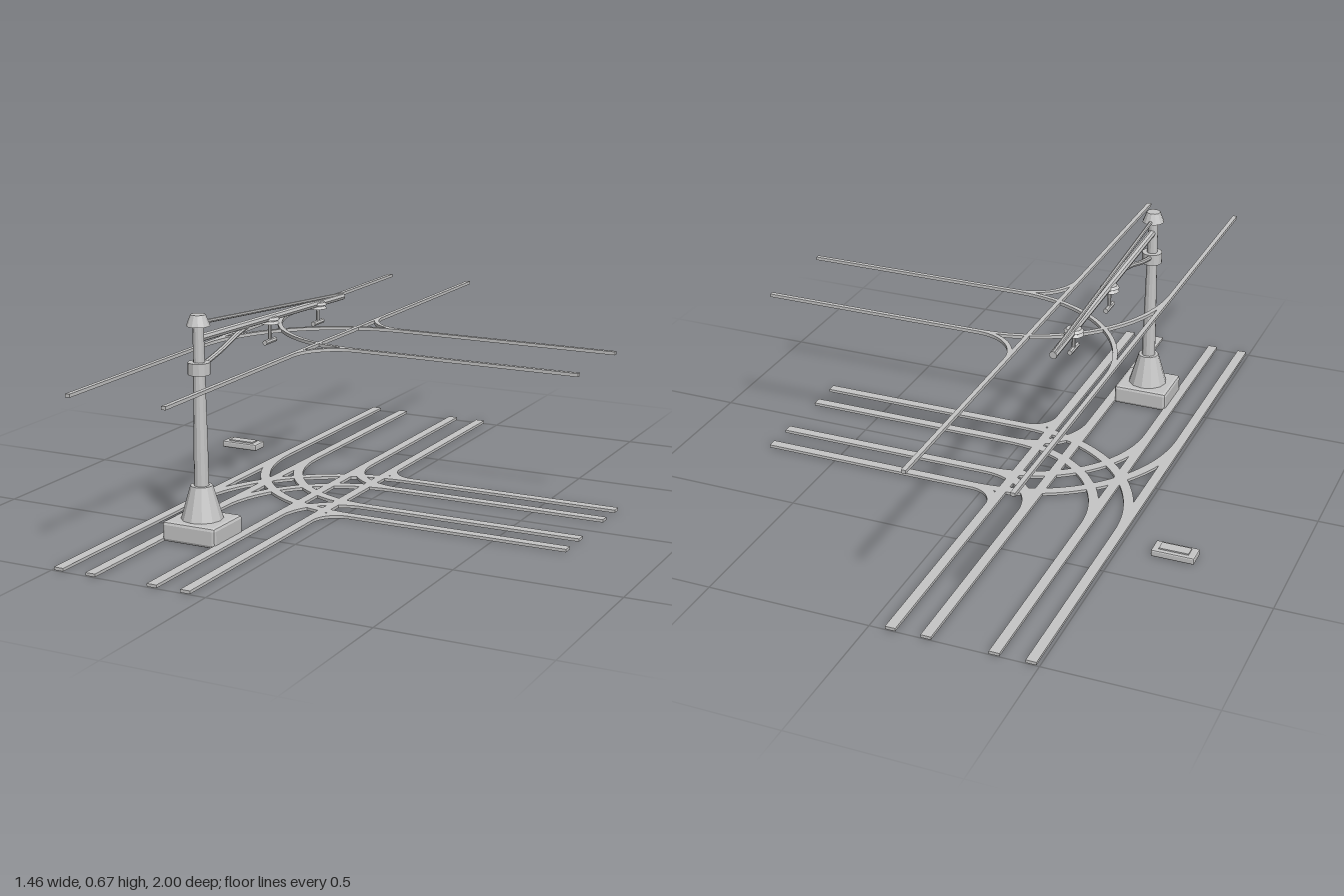
import * as THREE from 'three';
import { RoundedBoxGeometry } from 'three/addons/geometries/RoundedBoxGeometry.js';

const steel = new THREE.MeshStandardMaterial({ color: 0xc6c6c6, flatShading: true });
steel.name = 'light grey steel';

const END = 0.73, JOIN = 0.03;          // branch end, and where the curves meet the branch
const TRACKS = [-0.423, -0.117];        // x of the two main tracks
const BRANCH = 0.155;                   // |z| of the two branch tracks
const GAUGE = 0.053, RAIL_W = 0.031;

export function createModel() {
  const model = new THREE.Group();
  const add = (name, geo, x = 0, y = 0, z = 0, parent = model) => {
    const m = new THREE.Mesh(geo, steel);
    m.name = name;
    m.position.set(x, y, z);
    parent.add(m);
    return m;
  };

  // Flat outline in x/z, raised from y0 by h
  const slab = (shape, y0, h) => new THREE.ExtrudeGeometry(shape, { depth: h, bevelEnabled: false, curveSegments: 20 })
    .rotateX(Math.PI / 2).translate(0, y0 + h, 0);

  const straight = (x0, z0, x1, z1) => {
    const s = new THREE.Shape();
    s.moveTo(x0, z0); s.lineTo(x1, z0); s.lineTo(x1, z1); s.lineTo(x0, z1);
    s.closePath();
    return s;
  };

  // Quarter bend from a main track to the branch on side s
  const bend = (cz, r, w, s) => {
    const shape = new THREE.Shape();
    const a0 = Math.PI, a1 = s > 0 ? Math.PI / 2 : Math.PI * 1.5;
    shape.absarc(JOIN, cz, r + w / 2, a0, a1, s > 0);
    shape.absarc(JOIN, cz, r - w / 2, a1, a0, s < 0);
    shape.closePath();
    return shape;
  };

  // One full junction layout, used for each rail and for the overhead wires
  const layout = (name, offset, w, y0, h) => {
    const g = new THREE.Group();
    g.name = name;
    for (const x of TRACKS) {
      const c = x + offset;
      add('mainLine', slab(straight(c - w / 2, -1, c + w / 2, 1), y0, h), 0, 0, 0, g);
    }
    for (const s of [-1, 1]) {
      const c = s * BRANCH + offset;
      add('branchLine', slab(straight(JOIN, c - w / 2, END, c + w / 2), y0, h), 0, 0, 0, g);
      // tight bend from the near track
      const rNear = JOIN - TRACKS[1];
      add('nearBend', slab(bend(s * (BRANCH + rNear), rNear + offset, w, -s), y0, h), 0, 0, 0, g);
      // wide bend from the far track, crossing the centre
      const rFar = JOIN - TRACKS[0];
      add('farBend', slab(bend(s * (BRANCH - rFar), rFar + offset, w, s), y0, h), 0, 0, 0, g);
    }
    model.add(g);
  };
  layout('innerRails', GAUGE, RAIL_W, 0.002, 0.009);
  layout('outerRails', -GAUGE, RAIL_W, 0.002, 0.009);
  layout('overheadWires', 0, 0.014, 0.504, 0.01);

  // Mast
  const mast = new THREE.Group();
  mast.name = 'mast';
  mast.position.set(-0.271, 0, 0.568);
  model.add(mast);
  add('mastBase', new RoundedBoxGeometry(0.178, 0.062, 0.162, 1, 0.01), 0, 0.031, 0, mast);
  const drum = (name, rTop, rBottom, y0, y1) =>
    add(name, new THREE.CylinderGeometry(rTop, rBottom, y1 - y0, 12), 0, (y0 + y1) / 2, 0, mast);
  drum('pedestal', 0.033, 0.063, 0.06, 0.162);
  drum('lowerPole', 0.021, 0.022, 0.16, 0.275);
  drum('middlePole', 0.017, 0.021, 0.275, 0.51);
  drum('upperPole', 0.016, 0.017, 0.51, 0.64);
  drum('collar', 0.033, 0.033, 0.493, 0.529);
  drum('cap', 0.022, 0.035, 0.635, 0.668);

  // Round bar along a list of [y, z] points
  const bar = (name, pts, r) => {
    const v = pts.map(([y, z]) => new THREE.Vector3(-0.271, y, z));
    const curve = new THREE.CatmullRomCurve3(v);
    add(name, new THREE.TubeGeometry(curve, v.length > 2 ? 10 : 1, r, 8));
    // closed ends
    for (const i of [0, v.length - 1]) {
      const dir = v[i].clone().sub(v[i ? i - 1 : 1]).normalize();
      const cap = add(name + 'End', new THREE.CircleGeometry(r, 8), v[i].x, v[i].y, v[i].z);
      cap.quaternion.setFromUnitVectors(new THREE.Vector3(0, 0, 1), dir);
    }
  };
  bar('arm', [[0.598, 0.568], [0.564, -0.324]], 0.012);
  bar('tieRod', [[0.643, 0.568], [0.571, -0.324]], 0.006);
  bar('brace', [[0.513, 0.56], [0.538, 0.45], [0.566, 0.36], [0.582, 0.29]], 0.008);

  // Hangers: stacked insulator discs, stem and wire clamp
  for (const z of [BRANCH, -BRANCH]) {
    const hanger = new THREE.Group();
    hanger.name = 'hanger';
    hanger.position.set(-0.271, 0, z);
    model.add(hanger);
    const top = 0.576 + z * 0.03;
    for (let i = 0; i < 2; i++)
      add('insulatorDisc', new THREE.CylinderGeometry(0.023, 0.03, 0.008, 14), 0, top - i * 0.012, 0, hanger);
    add('stem', new THREE.CylinderGeometry(0.006, 0.006, top - 0.509, 8), 0, (top + 0.509) / 2, 0, hanger);
    add('clamp', new THREE.CylinderGeometry(0.008, 0.008, 0.064, 8).rotateX(Math.PI / 2), 0, 0.509, 0, hanger);
  }

  // Ground box beside the tracks
  add('groundBox', new RoundedBoxGeometry(0.132, 0.022, 0.06, 1, 0.005), -0.664, 0.011, -0.344);
  add('groundBoxLid', new THREE.BoxGeometry(0.09, 0.005, 0.034), -0.664, 0.0235, -0.344);

  return model;
}
